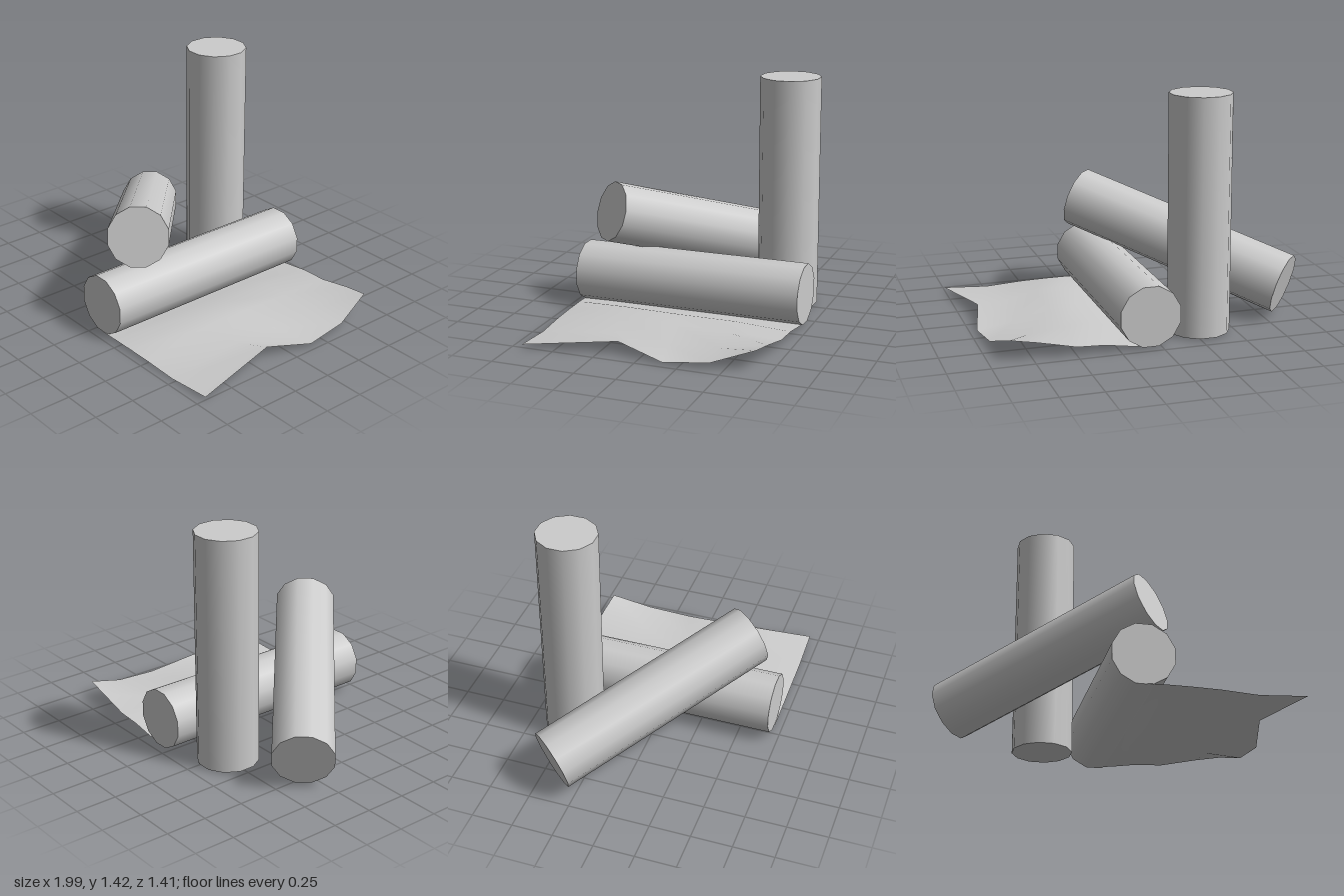
import * as THREE from 'three';

const RADIUS = 0.184;
const material = new THREE.MeshStandardMaterial({ color: 0xcccccc });
const clothMaterial = new THREE.MeshStandardMaterial({ color: 0xcccccc, side: THREE.DoubleSide });

// A twelve-sided roll running between two end centres, with flats at top and sides
function roll(name, from, to) {
  const a = new THREE.Vector3(...from);
  const b = new THREE.Vector3(...to);
  const geometry = new THREE.CylinderGeometry(RADIUS, RADIUS, a.distanceTo(b), 12, 1, false, Math.PI / 12);
  geometry.rotateX(Math.PI / 2);
  const mesh = new THREE.Mesh(geometry, material);
  mesh.name = name;
  mesh.position.copy(a).add(b).multiplyScalar(0.5);
  mesh.lookAt(b);
  return mesh;
}

// Loose sheet: each row runs from under the roll to the ragged outer edge
function looseSheet() {
  const heights = [
    [0.015, 0.03, 0.05, 0.055, 0.10, 0.125],
    [0.015, 0.035, 0.07, 0.06, 0.045, 0.04],
    [0.015, 0.035, 0.07, 0.07, 0.03, 0.015],
    [0.015, 0.035, 0.075, 0.075, 0.055, 0.075],
    [0.015, 0.018, 0.018, 0.015, 0.003, 0.022],
  ];
  const edge = [[0.88, -0.67], [0.94, -0.42], [0.96, -0.15], [0.895, 0.14], [1.0, 0.69]];
  const columns = [0.07, 0.2, 0.34, 0.5, 0.72];
  const geometry = new THREE.PlaneGeometry(1, 1, 5, 4).rotateX(-Math.PI / 2);
  const position = geometry.attributes.position;
  heights.forEach((row, r) => row.forEach((y, c) => {
    const innerZ = -0.705 + r * 0.3525;
    const blend = [0, 0, 0.1, 0.25, 0.6, 1][c];
    const x = c < 5 ? columns[c] : edge[r][0];
    position.setXYZ(r * 6 + c, x, y, THREE.MathUtils.lerp(innerZ, edge[r][1], blend));
  }));
  geometry.computeVertexNormals();
  const mesh = new THREE.Mesh(geometry, clothMaterial);
  mesh.name = 'looseSheet';
  return mesh;
}

export function createModel() {
  const group = new THREE.Group();
  group.name = 'clothRolls';
  group.add(
    roll('lyingRoll', [0.07, 0.192, -0.71], [0.07, 0.192, 0.70]),
    roll('uprightRoll', [-0.295, 0.01, -0.487], [-0.295, 1.422, -0.487]),
    roll('leaningRoll', [-0.868, 0.205, -0.4], [0.163, 0.608, 0.495]),
    looseSheet(),
  );
  return group;
}
